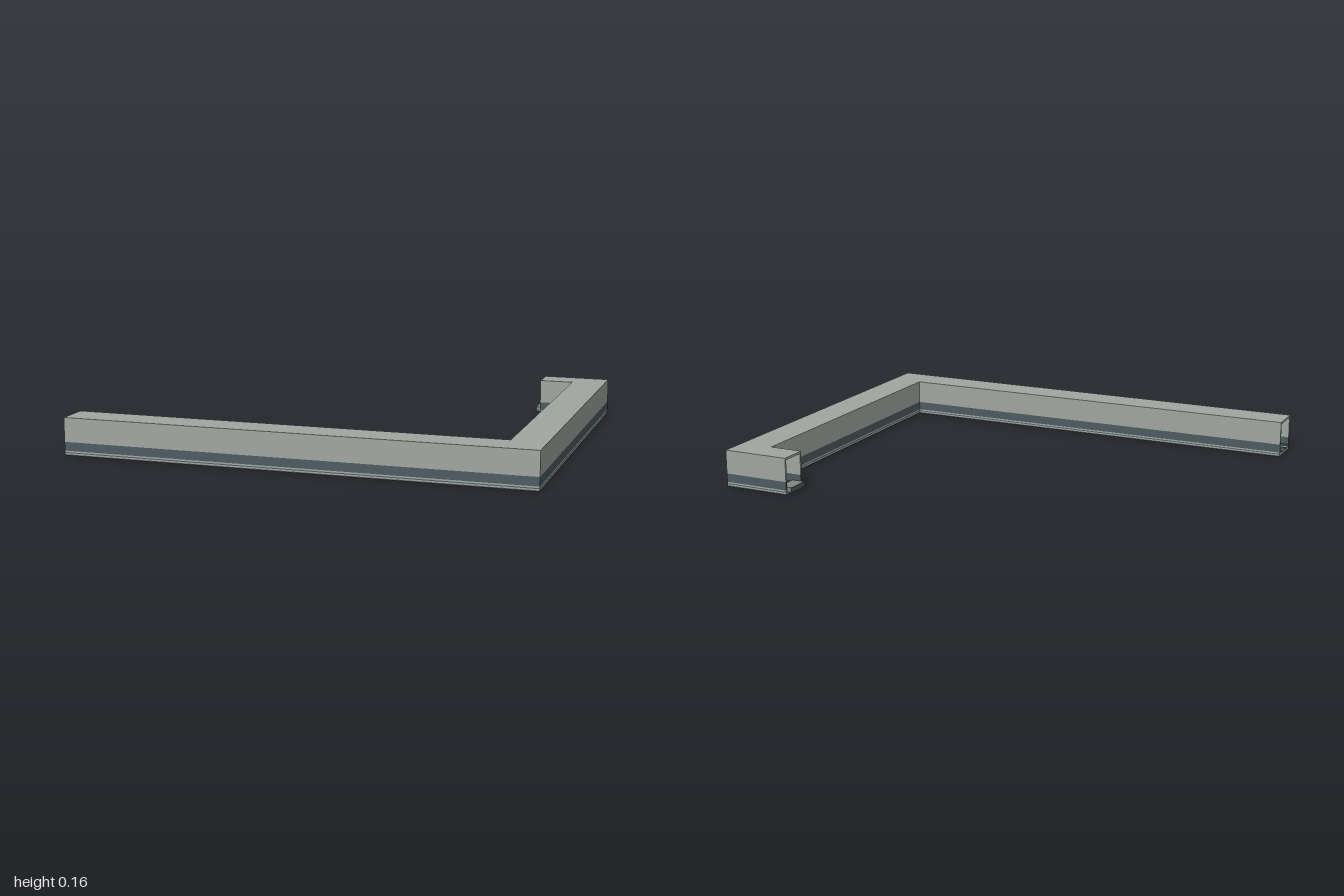
import * as THREE from 'three';

const paint = (name, color) => {
  const m = new THREE.MeshStandardMaterial({ color });
  m.name = name;
  return m;
};

export function createModel() {
  const model = new THREE.Group();
  model.name = 'corneredChannel';
  const grey = paint('stone grey', 0xa0a6a0);
  const slate = paint('dark slate', 0x4d5b61);
  const mid = paint('mid grey', 0x7f8580);

  // Plan path across the run: f = 0 is the outer edge, f = 1 the inner edge
  const path = (f, startX, endX) => {
    const d = 0.147 * f, e = 0.122 * f;
    return [[startX, 0.79 - d], [1 - d, 0.79 - d], [1 - d, -0.79 + e], [endX, -0.79 + e]];
  };

  // Strip of the run between two edge fractions and two heights
  function strip(name, material, f0, f1, y0, y1, startX = -0.995, endX = 0.705) {
    const corners = [...path(f0, startX, endX), ...path(f1, startX, endX).reverse()];
    const shape = new THREE.Shape(corners.map(([x, z]) => new THREE.Vector2(x, -z)));
    const geometry = new THREE.ExtrudeGeometry(shape, { depth: y1 - y0, bevelEnabled: false });
    geometry.rotateX(-Math.PI / 2).translate(0, y0, 0);
    const mesh = new THREE.Mesh(geometry, material);
    mesh.name = name;
    model.add(mesh);
  }

  // Hollow upper channel, open at both ends
  strip('topPanel', grey, 0, 1, 0.15, 0.16);
  strip('outerWall', grey, 0, 0.07, 0.057, 0.15);
  strip('innerWall', grey, 0.93, 1, 0.057, 0.15);

  // Dark band on both sides, with a floor inside
  strip('outerBand', slate, 0, 0.07, 0.02, 0.057);
  strip('innerBand', slate, 0.93, 1, 0.02, 0.057);

  // Thin alternating base layers
  [[0.014, 0.02, grey], [0.01, 0.014, slate], [0.005, 0.01, grey], [0, 0.005, slate]]
    .forEach(([y0, y1, material], i) => strip('baseLayer' + (i + 1), material, 0, 1, y0, y1));

  // Small ribs that run inside and poke out of the long end
  [0.15, 0.5, 0.85].forEach((f, i) =>
    strip('floorRib' + (i + 1), slate, f - 0.03, f + 0.03, 0.02, 0.027, -1, 0.705));

  // Joining tongue at the short end
  const tongue = new THREE.Mesh(new THREE.BoxGeometry(0.06, 0.02, 0.1), mid);
  tongue.name = 'tongue';
  tongue.position.set(0.714, 0.022, -0.732);
  model.add(tongue);
  const tip = new THREE.Mesh(new THREE.BoxGeometry(0.005, 0.022, 0.102), slate);
  tip.name = 'tongueTip';
  tip.position.set(0.685, 0.022, -0.732);
  model.add(tip);

  return model;
}
